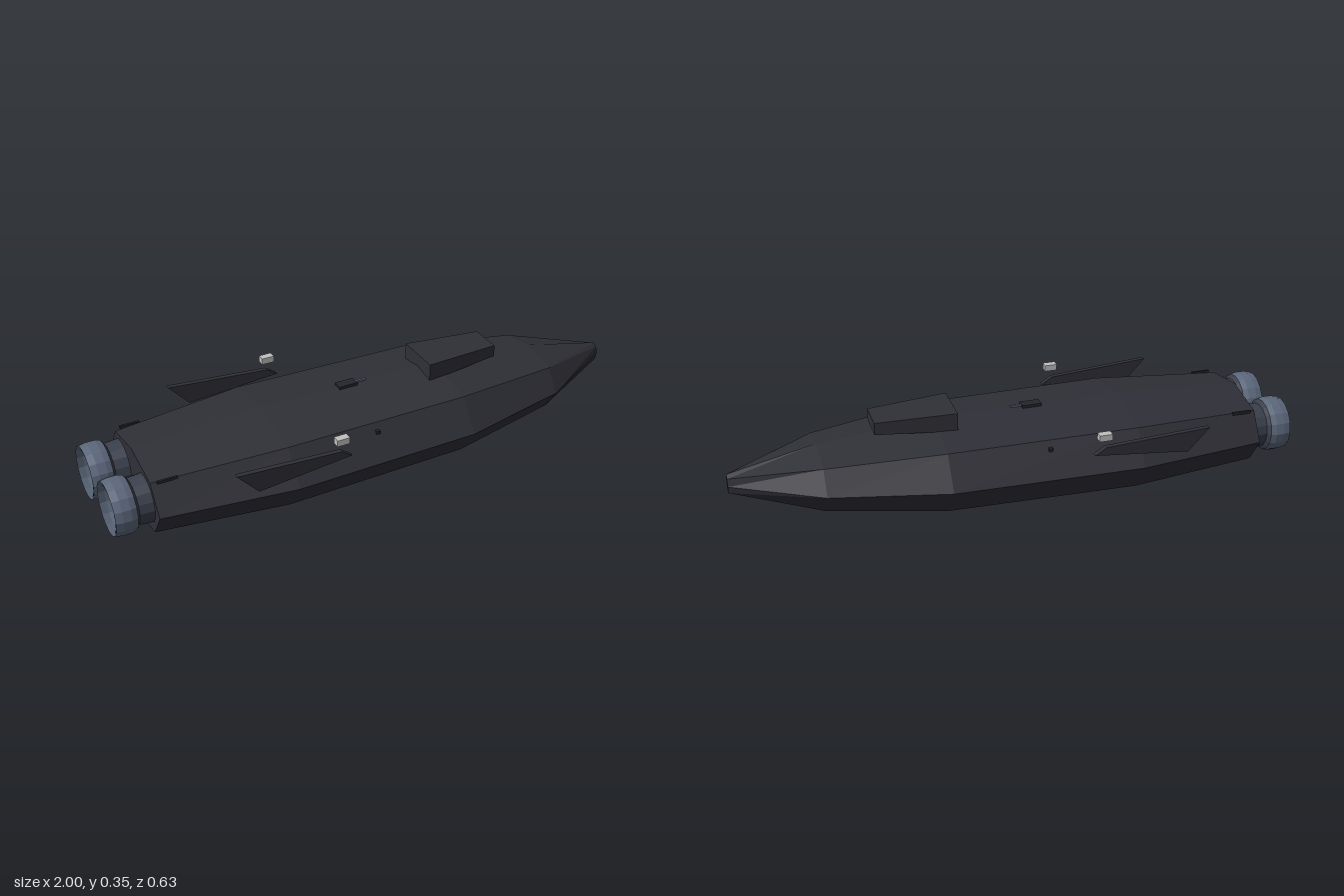
import * as THREE from 'three';

const hullMat = new THREE.MeshStandardMaterial({ name: 'hullCharcoal', color: 0x2f2f37 });
const trimMat = new THREE.MeshStandardMaterial({ name: 'trimDark', color: 0x25252b });
const engineMat = new THREE.MeshStandardMaterial({ name: 'engineSteel', color: 0x5c687c, side: THREE.DoubleSide });
const collarMat = new THREE.MeshStandardMaterial({ name: 'collarGrey', color: 0x3a404c, side: THREE.DoubleSide });
const lightMat = new THREE.MeshStandardMaterial({ name: 'lightGrey', color: 0xc0c0c0 });

function flat(geometry) {
  const g = geometry.index ? geometry.toNonIndexed() : geometry;
  g.computeVertexNormals();
  return g;
}

function add(parent, name, geometry, material, x = 0, y = 0, z = 0) {
  const mesh = new THREE.Mesh(geometry, material);
  mesh.name = name;
  mesh.position.set(x, y, z);
  parent.add(mesh);
  return mesh;
}

// Eight-sided hull lofted along x: stations are [x, half width, half height]
function hullGeometry() {
  const midY = 0.157;
  const stations = [
    [-0.865, 0.238, 0.13], [-0.4, 0.3, 0.154], [0.28, 0.288, 0.147],
    [0.69, 0.195, 0.107], [1, 0.024, 0.036]];
  const section = [[1, 0], [0.72, 0.75], [0, 1], [-0.72, 0.75], [-1, 0], [-0.72, -0.75], [0, -1], [0.72, -0.75]];
  const point = (i, k) => {
    const [x, w, h] = stations[i];
    const [z, y] = section[k % 8];
    return [x, midY + y * h, z * w];
  };
  const out = [];
  const last = stations.length - 1;
  for (let k = 0; k < 8; k++) {
    for (let i = 0; i < last; i++) {
      const a = point(i, k), b = point(i + 1, k), c = point(i + 1, k + 1), d = point(i, k + 1);
      out.push(...a, ...b, ...c, ...a, ...c, ...d);
    }
    out.push(stations[0][0], midY, 0, ...point(0, k), ...point(0, k + 1));
    out.push(stations[last][0], midY, 0, ...point(last, k + 1), ...point(last, k));
  }
  const g = new THREE.BufferGeometry();
  g.setAttribute('position', new THREE.Float32BufferAttribute(out, 3));
  return flat(g);
}

// Tapered canopy block: narrower and lower toward the nose
function canopyGeometry() {
  const g = new THREE.BoxGeometry(1, 1, 1);
  const p = g.attributes.position;
  for (let i = 0; i < p.count; i++) {
    const front = p.getX(i) > 0, top = p.getY(i) > 0;
    p.setXYZ(i, front ? 0.498 : 0.212,
      top ? (front ? 0.342 : 0.352) : (front ? 0.298 : 0.285),
      Math.sign(p.getZ(i)) * (front ? 0.06 : 0.087));
  }
  return flat(g);
}

// Lathe whose axis points along +x; profile entries are [radius, x]
function latheX(profile) {
  const g = new THREE.LatheGeometry(profile.map(([r, x]) => new THREE.Vector2(r, x)), 16);
  g.rotateZ(-Math.PI / 2);
  return flat(g);
}

function engine(side) {
  const group = new THREE.Group();
  group.name = side > 0 ? 'engineNear' : 'engineFar';
  group.position.set(0, 0.163, side * 0.114);
  add(group, 'engineCollar', latheX([[0.094, -0.925], [0.08, -0.915], [0.085, -0.855]]), collarMat);
  add(group, 'engineBell', latheX([[0.094, -1], [0.099, -0.975], [0.099, -0.945], [0.094, -0.925]]), engineMat);
  add(group, 'engineLiner', latheX([[0.094, -1], [0.084, -0.998], [0.07, -0.93]]), trimMat);
  const glow = new THREE.CircleGeometry(0.072, 16);
  glow.rotateY(-Math.PI / 2);
  add(group, 'engineCore', glow, lightMat, -0.932);
  return group;
}

// Side fin outlined in the x-y plane
function finGeometry() {
  const outline = [[-0.625, 0.289], [-0.55, 0.207], [-0.21, 0.237], [-0.25, 0.263]];
  const shape = new THREE.Shape(outline.map(([x, y]) => new THREE.Vector2(x, y)));
  const g = new THREE.ExtrudeGeometry(shape, { depth: 0.018, bevelEnabled: false });
  g.translate(0, 0, -0.009);
  // slight outward sweep toward the tail
  const p = g.attributes.position;
  for (let i = 0; i < p.count; i++) p.setZ(i, p.getZ(i) - (p.getX(i) + 0.4) * 0.018);
  return flat(g);
}

export function createModel() {
  const model = new THREE.Group();
  model.name = 'spacecraft';
  add(model, 'hull', hullGeometry(), hullMat);
  add(model, 'canopy', canopyGeometry(), hullMat);

  // Small dorsal fitting
  add(model, 'dorsalPlate', new THREE.BoxGeometry(0.07, 0.012, 0.036), trimMat, -0.075, 0.309, 0);
  add(model, 'dorsalProbe', new THREE.BoxGeometry(0.05, 0.008, 0.008), engineMat, -0.025, 0.309, 0);

  for (const side of [1, -1]) {
    model.add(engine(side));
    const wing = new THREE.Group();
    wing.name = side > 0 ? 'finNear' : 'finFar';
    if (side < 0) wing.rotation.x = 0;
    const fin = finGeometry();
    if (side < 0) {
      // mirror the sweep by negating it on the far side
      const p = fin.attributes.position;
      for (let i = 0; i < p.count; i++) p.setZ(i, p.getZ(i) + (p.getX(i) + 0.4) * 0.036);
      fin.computeVertexNormals();
    }
    add(wing, 'fin', fin, hullMat, 0, 0, side * 0.302);
    add(wing, 'finBeacon', new THREE.BoxGeometry(0.046, 0.023, 0.028), lightMat, -0.245, 0.303, side * 0.301);
    model.add(wing);
    // Slim tail vent and small side port
    add(model, 'tailVent', new THREE.BoxGeometry(0.07, 0.01, 0.008), trimMat, -0.81, 0.258, side * 0.183);
    add(model, 'sidePort', new THREE.BoxGeometry(0.014, 0.012, 0.012), trimMat, -0.075, 0.244, side * 0.233);
  }
  return model;
}
